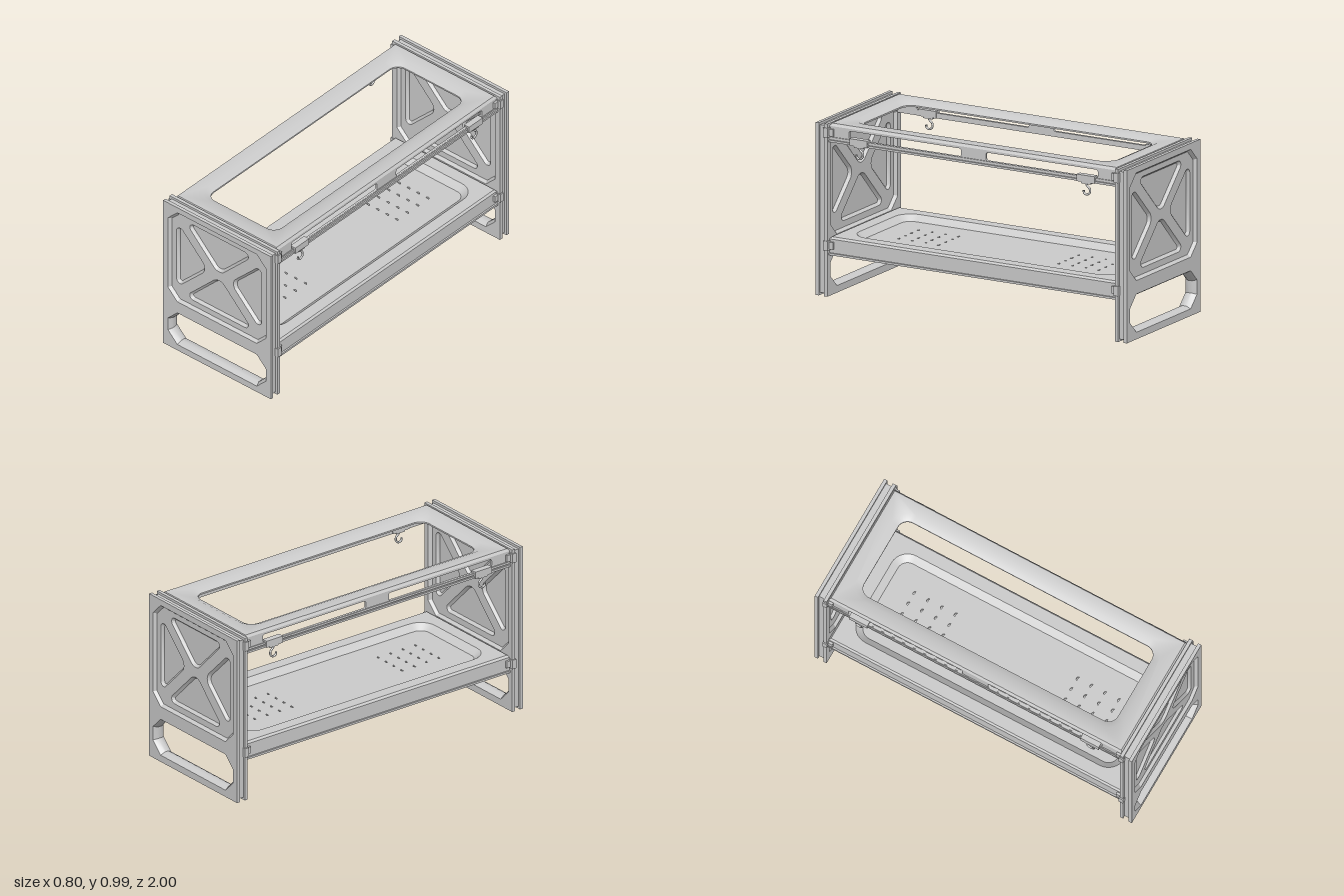
import * as THREE from 'three';
import { toCreasedNormals } from 'three/addons/utils/BufferGeometryUtils.js';

const material = new THREE.MeshStandardMaterial({ color: 0xcccccc, side: THREE.DoubleSide });

function add(parent, name, geometry, x = 0, y = 0, z = 0) {
  const mesh = new THREE.Mesh(geometry, material);
  mesh.name = name;
  mesh.position.set(x, y, z);
  parent.add(mesh);
  return mesh;
}

// Counter-clockwise outlines
const rect = (w, y0, y1) => [[-w, y0], [w, y0], [w, y1], [-w, y1]];
const octagon = (w, y0, y1, c) => [[-w + c, y0], [w - c, y0], [w, y0 + c], [w, y1 - c],
  [w - c, y1], [-w + c, y1], [-w, y1 - c], [-w, y0 + c]];

// Convex outline with rounded corners (radii r), inset by d
function loop(pts, r = 0, d = 0) {
  const n = pts.length, out = [];
  const normal = (a, b) => new THREE.Vector2(b[1] - a[1], a[0] - b[0]).normalize();
  pts.forEach((p, i) => {
    const n1 = normal(pts[(i + n - 1) % n], p), n2 = normal(p, pts[(i + 1) % n]);
    const radius = Array.isArray(r) ? r[i] : r;
    const shift = (radius || d) / (1 + n1.dot(n2));
    const c = new THREE.Vector2(...p).addScaledVector(n1, -shift).addScaledVector(n2, -shift);
    if (!radius) return out.push(c);
    const a = n1.angle(), turn = (n2.angle() - a + Math.PI * 2) % (Math.PI * 2);
    for (let k = 0; k <= 8; k++) {
      const t = a + turn * k / 8;
      out.push(new THREE.Vector2(c.x + (radius - d) * Math.cos(t), c.y + (radius - d) * Math.sin(t)));
    }
  });
  return out;
}

// Collects flat caps and walls between outlines into one surface
class Surface {
  positions = [];
  band(a, za, b, zb) {
    a.forEach((p, i) => {
      const j = (i + 1) % a.length, q = a[j], s = b[i], t = b[j];
      this.positions.push(p.x, p.y, za, q.x, q.y, za, t.x, t.y, zb, p.x, p.y, za, t.x, t.y, zb, s.x, s.y, zb);
    });
  }
  cap(outer, holes, z, up = true) {
    const all = [outer, ...holes].flat();
    for (const f of THREE.ShapeUtils.triangulateShape(outer, holes)) {
      let [a, b, c] = f.map(i => all[i]);
      const area = (b.x - a.x) * (c.y - a.y) - (b.y - a.y) * (c.x - a.x);
      if ((area > 0) !== up) [b, c] = [c, b];
      this.positions.push(a.x, a.y, z, b.x, b.y, z, c.x, c.y, z);
    }
  }
  geometry() {
    const g = new THREE.BufferGeometry();
    g.setAttribute('position', new THREE.Float32BufferAttribute(this.positions, 3));
    return toCreasedNormals(g, 0.6);
  }
}

// One face of an end panel: octagonal recess with four triangular pockets, window below
function panelHalf() {
  const s = new Surface(), top = 0.0375, mid = 0.02, low = 0.004;
  const edge = rect(0.393, 0, 0.985), big = octagon(0.358, 0.335, 0.95, 0.068), win = octagon(0.358, 0.04, 0.258, 0.068);
  const triangles = [
    [[0, 0.652], [0.25, 0.905], [-0.25, 0.905]],
    [[0, 0.638], [-0.25, 0.385], [0.25, 0.385]],
    [[0.082, 0.645], [0.31, 0.417], [0.31, 0.873]],
    [[-0.082, 0.645], [-0.31, 0.873], [-0.31, 0.417]],
  ];
  const radii = [0.055, 0.026, 0.026];
  const outer = loop(edge), core = loop(edge, 0, 0.014);
  s.band(core, 0, core, 0.0175);
  s.band(core, 0.0175, outer, 0.0175);
  s.band(outer, 0.0175, outer, top);
  s.cap(outer, [loop(big), loop(win)], top);
  s.band(loop(win), top, loop(win, 0, 0.014), 0.014);
  s.band(loop(win, 0, 0.014), 0.014, loop(win, 0, 0.014), 0);
  s.band(loop(big), top, loop(big, 0, 0.014), mid);
  s.cap(loop(big, 0, 0.014), triangles.map(t => loop(t, radii)), mid);
  for (const t of triangles) {
    const floor = loop(t, radii, 0.014);
    s.band(loop(t, radii), mid, floor, low);
    s.cap(floor, [], low);
  }
  return s.geometry();
}

// Horizontal pressed sheets, drawn in plan and laid flat
const plan = rect(0.37, -0.925, 0.925), opening = rect(0.29, -0.84, 0.84);

function topFrame() {
  const s = new Surface(), inner = loop(opening, 0.1, 0.04);
  s.band(loop(plan), 0.97, loop(plan, 0, 0.01), 0.985);
  s.cap(loop(plan, 0, 0.01), [loop(opening, 0.1)], 0.985);
  s.band(loop(opening, 0.1), 0.985, inner, 0.967);
  s.band(inner, 0.967, inner, 0.958);
  return s.geometry().rotateX(-Math.PI / 2);
}

function shelfTray() {
  const s = new Surface(), floor = loop(opening, 0.1, 0.04), holes = [];
  for (const side of [-1, 1])
    for (let i = 0; i < 4; i++)
      for (let j = 0; j < 4; j++)
        holes.push(new THREE.Path().absarc((i - 1.5) * 0.07, side * (0.385 + j * 0.0865), 0.012, 0, Math.PI * 2)
          .getPoints(10).slice(0, 10));
  s.band(loop(plan), 0.235, loop(plan), 0.325);
  s.band(loop(plan), 0.325, loop(plan, 0, 0.01), 0.337);
  s.cap(loop(plan, 0, 0.01), [loop(opening, 0.1)], 0.337);
  s.band(loop(opening, 0.1), 0.337, floor, 0.305);
  s.cap(floor, holes, 0.305);
  for (const h of holes) {
    s.band(h, 0.305, h, 0.293);
    s.cap(h, [], 0.293);
  }
  // Underside, set up inside the rim
  const rim = loop(plan, 0, 0.012);
  s.cap(loop(plan), [rim], 0.235, false);
  s.band(rim, 0.29, rim, 0.235);
  s.cap(rim, [], 0.29, false);
  return s.geometry().rotateX(-Math.PI / 2);
}

// Side rail with two long slots, extruded across x
function slottedRail() {
  const shape = new THREE.Shape(loop(rect(0.925, 0.88, 0.97)));
  for (const side of [-1, 1]) {
    const slot = loop([[-0.36, 0.91], [0.36, 0.91], [0.36, 0.957], [-0.36, 0.957]], 0.012);
    slot.forEach(p => { p.x += side * 0.44; });
    shape.holes.push(new THREE.Path(slot));
  }
  return new THREE.ExtrudeGeometry(shape, { depth: 0.014, bevelEnabled: false }).rotateY(Math.PI / 2);
}

function hookGeometry() {
  const points = [[0, 0.885], [0, 0.862], [-0.018, 0.845], [-0.02, 0.822], [0, 0.807], [0.018, 0.816], [0.019, 0.83]];
  const curve = new THREE.CatmullRomCurve3(points.map(([z, y]) => new THREE.Vector3(0, y, z)));
  return new THREE.TubeGeometry(curve, 28, 0.006, 8);
}

export function createModel() {
  const model = new THREE.Group();
  model.name = 'rack';

  // End panels, each of two identical faces back to back
  const half = panelHalf();
  for (const [name, z] of [['frontPanel', 0.9625], ['backPanel', -0.9625]]) {
    const panel = new THREE.Group();
    panel.name = name;
    panel.position.z = z;
    add(panel, 'panelOuterFace', half);
    add(panel, 'panelInnerFace', half).rotation.y = Math.PI;
    model.add(panel);
  }

  add(model, 'topFrame', topFrame());
  add(model, 'shelf', shelfTray());

  const rail = slottedRail(), hook = hookGeometry();
  const lip = new THREE.BoxGeometry(0.018, 0.012, 1.85);
  const clip = new THREE.BoxGeometry(0.03, 0.055, 0.028);
  const bracket = new THREE.BoxGeometry(0.036, 0.04, 0.115);
  for (const side of [-1, 1]) {
    // Rails and their lips
    add(model, 'topRail', rail, side * 0.363 - 0.007);
    add(model, 'topRailLip', lip, side * 0.371, 0.886);
    add(model, 'topRailUpperLip', lip, side * 0.367, 0.903);
    add(model, 'shelfLip', lip, side * 0.371, 0.241);
    for (const end of [-1, 1]) {
      // Corner clips
      for (const y of [0.29, 0.935]) {
        add(model, 'cornerClip', clip, side * 0.385, y, end * 0.934);
        add(model, 'clipTab', new THREE.BoxGeometry(0.02, 0.04, 0.04), side * 0.374, y, end * 0.915);
      }
      // Hanging hooks
      add(model, 'hookBracket', bracket, side * 0.369, 0.9, end * 0.73);
      add(model, 'hookFoot', new THREE.BoxGeometry(0.026, 0.012, 0.06), side * 0.369, 0.876, end * 0.73);
      add(model, 'hook', hook, side * 0.372, 0, end * 0.73);
    }
  }
  return model;
}
